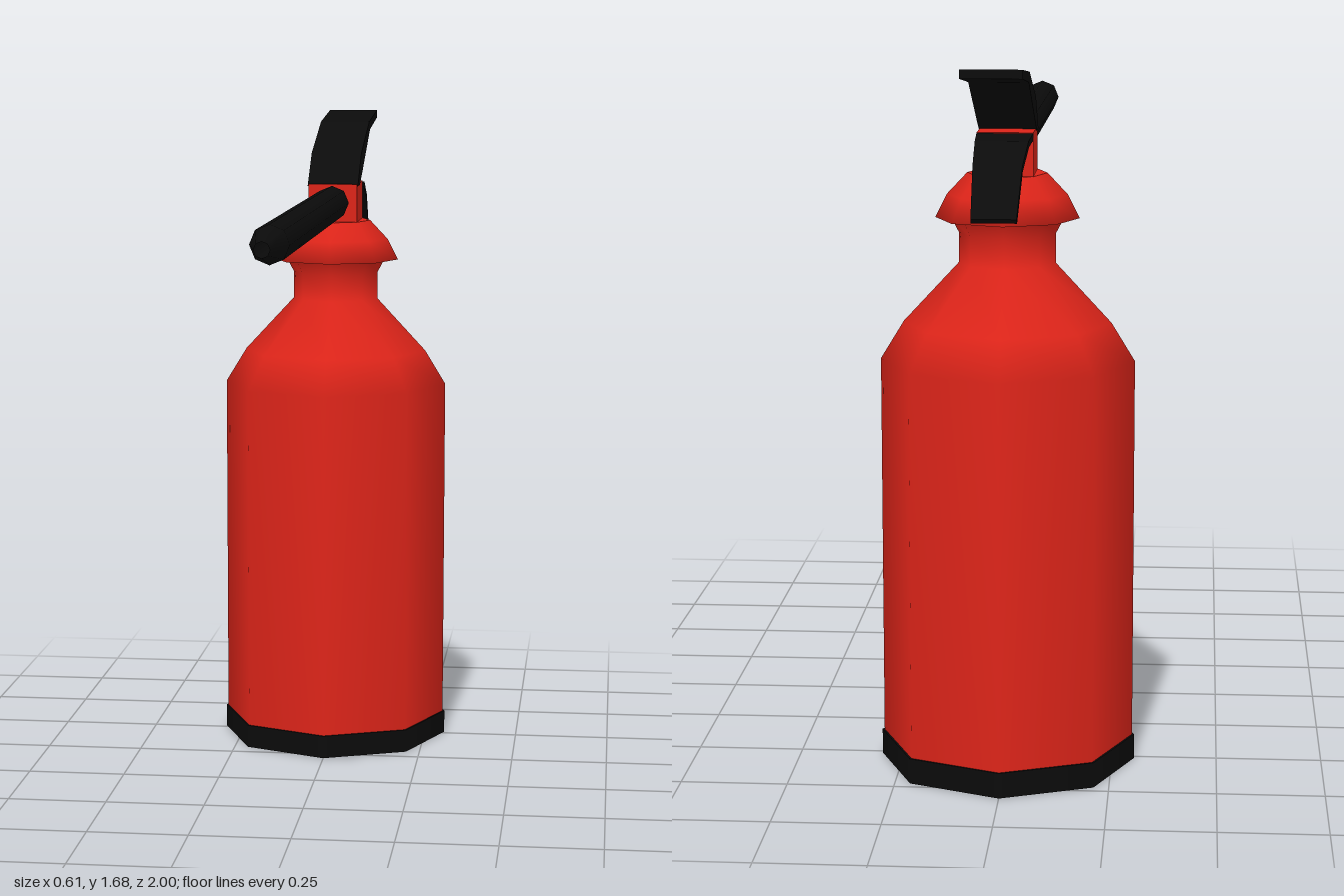
import * as THREE from 'three';

const CENTER_Z = -0.512;
const red = new THREE.MeshStandardMaterial({ color: 0xdc2419 });
const black = new THREE.MeshStandardMaterial({ color: 0x0b0b0b });
const blackOpen = new THREE.MeshStandardMaterial({ color: 0x0b0b0b, side: THREE.DoubleSide });

function addMesh(group, name, geometry, material) {
  const mesh = new THREE.Mesh(geometry, material);
  mesh.name = name;
  group.add(mesh);
  return mesh;
}

// Eight-sided turned shape, profile as [radius, height] from bottom to top
function turned(profile) {
  return new THREE.LatheGeometry(profile.map(([r, y]) => new THREE.Vector2(r, y)), 8);
}

// Bent strip: side outline as [distance to the back, height], extruded across x;
// its width narrows evenly towards the far end
function lever(outline, width, endWidth) {
  const shape = new THREE.Shape(outline.map(([d, y]) => new THREE.Vector2(d, y)));
  const geometry = new THREE.ExtrudeGeometry(shape, { depth: width, bevelEnabled: false });
  geometry.translate(0, 0, -width / 2).rotateY(Math.PI / 2);
  const reach = outline.map(([d]) => d);
  const near = Math.min(...reach), far = Math.max(...reach);
  const pos = geometry.attributes.position;
  for (let i = 0; i < pos.count; i++) {
    const t = (-pos.getZ(i) - near) / (far - near);
    pos.setX(i, pos.getX(i) * (1 + t * (endWidth / width - 1)));
  }
  geometry.computeVertexNormals();
  return geometry;
}

export function createModel() {
  const model = new THREE.Group();
  model.name = 'fireExtinguisher';

  // Black foot
  const base = addMesh(model, 'base', new THREE.CylinderGeometry(0.303, 0.303, 0.06, 8), black);
  base.position.set(0, 0.03, CENTER_Z);

  // Tank with sloping shoulders and neck
  const tank = addMesh(model, 'tank', turned([
    [0.298, 0.055], [0.298, 0.97], [0.243, 1.06], [0.113, 1.2], [0.113, 1.27], [0.132, 1.306],
  ]), red);
  tank.position.z = CENTER_Z;

  // Flared collar, its top slightly longer than wide
  const collarGeometry = turned([[0.12, 1.305], [0.168, 1.305], [0.14, 1.36], [0.093, 1.41]]);
  const topGeometry = turned([[0.093, 1.41], [0, 1.41]]);
  for (const geometry of [collarGeometry, topGeometry]) {
    const pos = geometry.attributes.position;
    for (let i = 0; i < pos.count; i++) {
      if (pos.getY(i) > 1.4) pos.setZ(i, pos.getZ(i) * 1.2);
    }
  }
  addMesh(model, 'collar', collarGeometry, red).position.z = CENTER_Z;
  addMesh(model, 'collarTop', topGeometry, red).position.z = CENTER_Z;

  // Valve block
  const valve = addMesh(model, 'valveBlock', new THREE.BoxGeometry(0.13, 0.11, 0.16), red);
  valve.position.set(0, 1.455, CENTER_Z);

  // Open hose pointing forward, with a tapered tip
  const hose = addMesh(model, 'hose', turned([[0.045, -0.415], [0.045, 0.87]]).rotateX(Math.PI / 2), blackOpen);
  const tip = addMesh(model, 'hoseTip', turned([[0.045, 0.87], [0.018, 1]]).rotateX(Math.PI / 2), blackOpen);
  hose.position.y = tip.position.y = 1.462;

  // Squeeze lever above, carrying handle below
  addMesh(model, 'squeezeLever', lever([
    [0.435, 1.505], [0.49, 1.505], [0.556, 1.534], [0.78, 1.64], [1, 1.665],
    [1, 1.685], [0.76, 1.662], [0.53, 1.587],
  ], 0.134, 0.134), black);
  addMesh(model, 'carryHandle', lever([
    [0.585, 1.493], [0.68, 1.487], [0.81, 1.447], [0.925, 1.347],
    [0.935, 1.357], [0.82, 1.459], [0.69, 1.501], [0.585, 1.509],
  ], 0.13, 0.1), black);

  return model;
}
